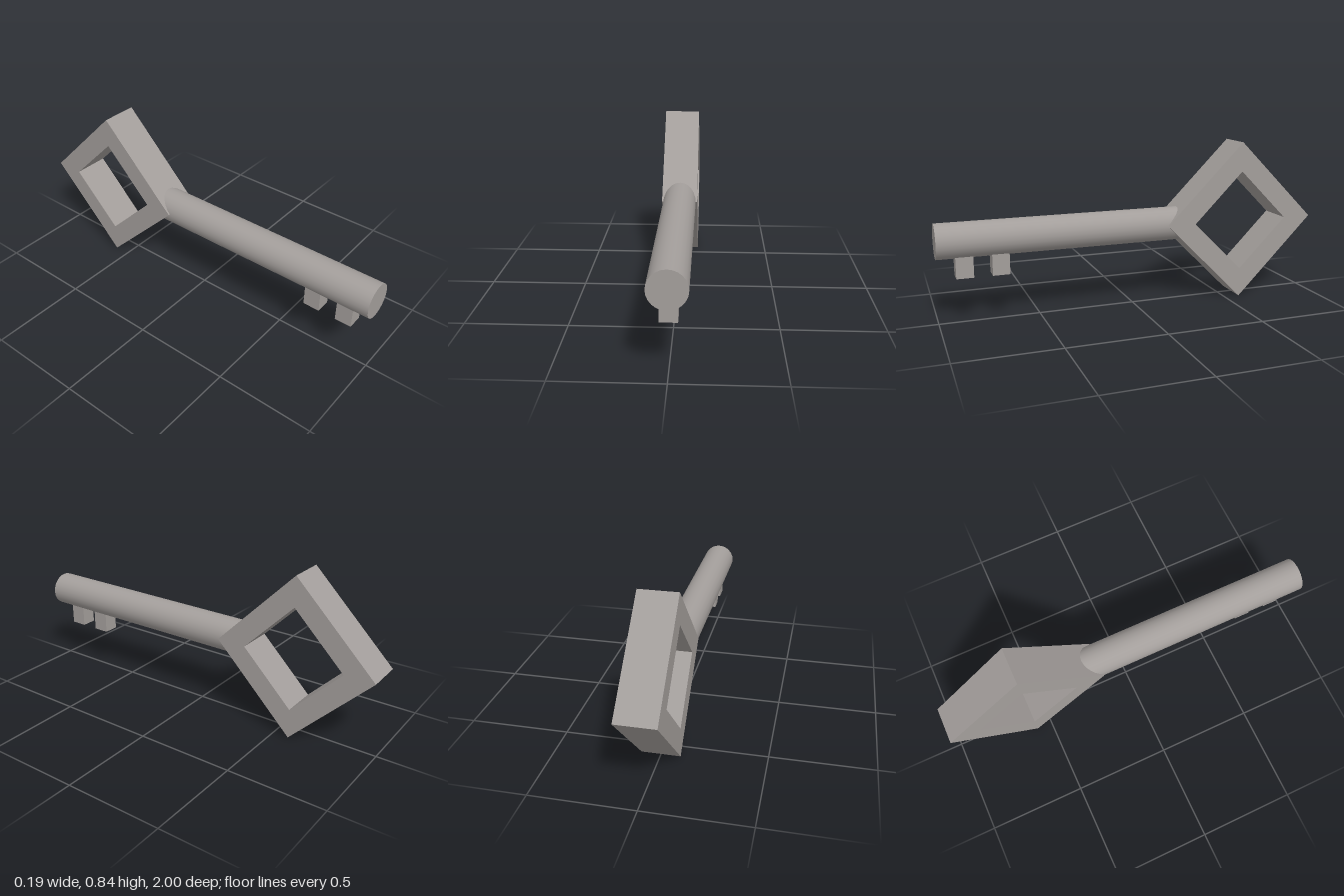
import * as THREE from 'three';

const metal = new THREE.MeshStandardMaterial({ color: 0xa39e9b });
metal.name = 'warm grey metal';

// Diamond outline with the given half diagonal
function diamond(PathType, r) {
  const p = new PathType();
  p.moveTo(r, 0);
  p.lineTo(0, r);
  p.lineTo(-r, 0);
  p.lineTo(0, -r);
  p.closePath();
  return p;
}

export function createModel() {
  const key = new THREE.Group();
  key.name = 'key';

  function add(name, geometry, x, y, z) {
    const mesh = new THREE.Mesh(geometry, metal);
    mesh.name = name;
    mesh.position.set(x, y, z);
    key.add(mesh);
  }

  // Diamond-shaped bow with a diamond hole
  const width = 0.19;
  const outline = diamond(THREE.Shape, 0.418);
  outline.holes.push(diamond(THREE.Path, 0.264));
  const bow = new THREE.ExtrudeGeometry(outline, { depth: width, bevelEnabled: false });
  bow.translate(0, 0, -width / 2).rotateY(Math.PI / 2);
  add('bow', bow, 0, 0.418, -0.582);

  // Round shaft, its rear end buried in the bow
  const front = 1, back = -0.26;
  const shaft = new THREE.CylinderGeometry(0.0875, 0.0875, front - back, 24);
  shaft.rotateX(Math.PI / 2);
  add('shaft', shaft, 0, 0.4135, (front + back) / 2);

  // Two square teeth under the shaft
  [0.867, 0.692].forEach((z, i) => {
    add(`tooth${i + 1}`, new THREE.BoxGeometry(0.08, 0.12, 0.085), 0, 0.29, z);
  });

  return key;
}
